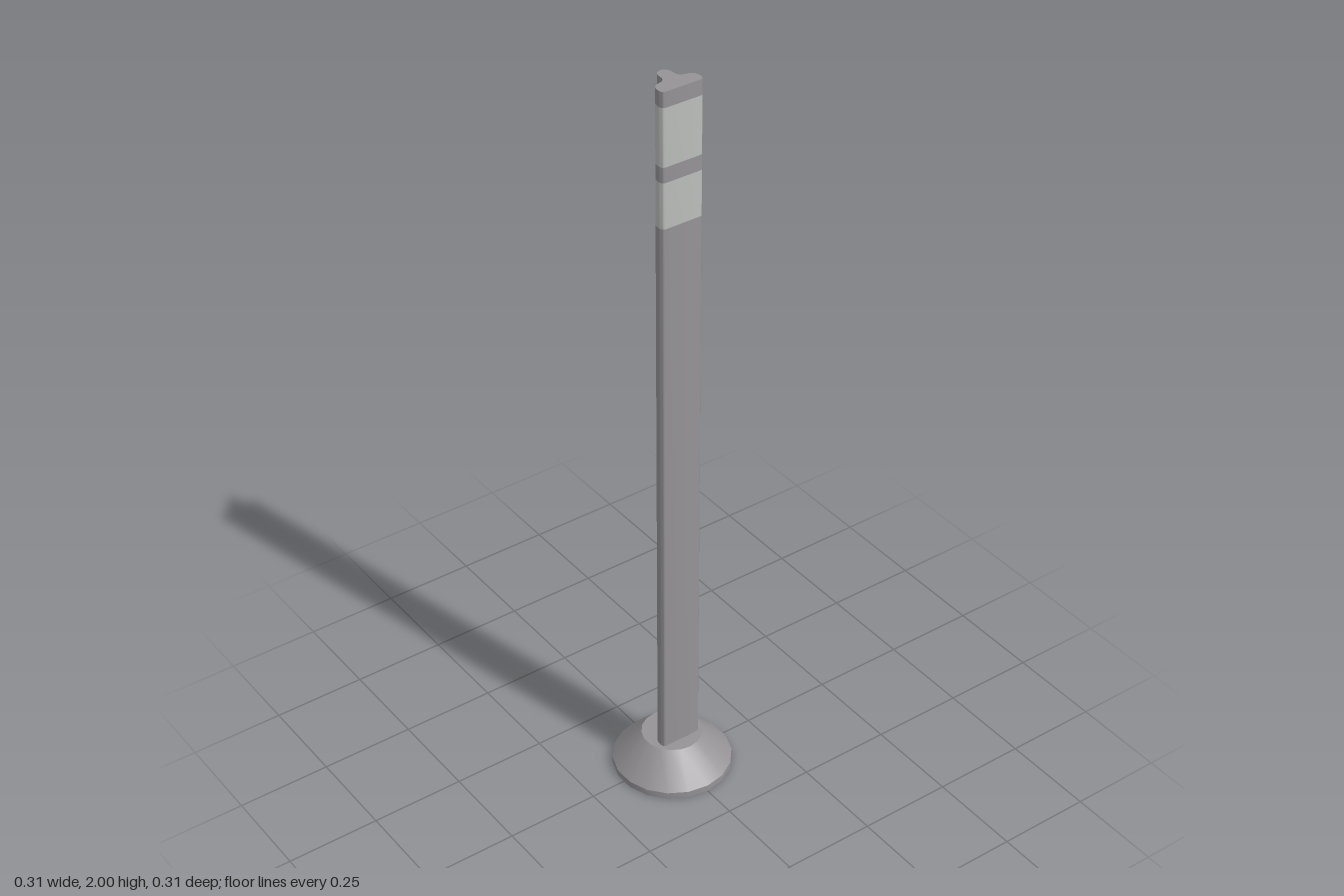
import * as THREE from 'three';
import { toCreasedNormals } from 'three/addons/utils/BufferGeometryUtils.js';

// Rounded three-lobed cross-section, flat at the front (shape y = -z)
function postShape() {
  const s = new THREE.Shape();
  s.moveTo(-0.046, -0.042);
  s.lineTo(0.046, -0.042);
  s.quadraticCurveTo(0.058, -0.042, 0.058, -0.028);
  s.bezierCurveTo(0.058, -0.012, 0.052, -0.004, 0.038, -0.002);
  s.bezierCurveTo(0.024, 0, 0.018, 0.006, 0.018, 0.02);
  s.bezierCurveTo(0.018, 0.036, 0.012, 0.045, 0, 0.045);
  s.bezierCurveTo(-0.012, 0.045, -0.018, 0.036, -0.018, 0.02);
  s.bezierCurveTo(-0.018, 0.006, -0.024, 0, -0.038, -0.002);
  s.bezierCurveTo(-0.052, -0.004, -0.058, -0.012, -0.058, -0.028);
  s.quadraticCurveTo(-0.058, -0.042, -0.046, -0.042);
  return s;
}

export function createModel() {
  const group = new THREE.Group();
  const grey = new THREE.MeshStandardMaterial({ name: 'grey', color: 0x959396 });
  const light = new THREE.MeshStandardMaterial({ name: 'lightBand', color: 0xbcbebc });
  const greyShell = new THREE.MeshStandardMaterial({ name: 'baseGrey', color: 0x959396, side: THREE.DoubleSide });

  // Post, stacked in flush plain and reflective sections
  const shape = postShape();
  const sections = [
    ['post', 0.095, 1.65, grey],
    ['lowerBand', 1.65, 1.77, light],
    ['bandGap', 1.77, 1.81, grey],
    ['upperBand', 1.81, 1.96, light],
    ['postTop', 1.96, 2, grey],
  ];
  for (const [name, y0, y1, material] of sections) {
    const geo = new THREE.ExtrudeGeometry(shape, { depth: y1 - y0, bevelEnabled: false, curveSegments: 6 });
    geo.rotateX(-Math.PI / 2).translate(0, y0, 0);
    const mesh = new THREE.Mesh(toCreasedNormals(geo, 0.7), material);
    mesh.name = name;
    group.add(mesh);
  }

  // Hollow conical foot with a short vertical rim, open underneath
  const profile = [[0.156, 0], [0.156, 0.018], [0.08, 0.098], [0, 0.098]]
    .map(([r, y]) => new THREE.Vector2(r, y));
  const base = new THREE.Mesh(toCreasedNormals(new THREE.LatheGeometry(profile, 18), 0.5), greyShell);
  base.name = 'base';
  group.add(base);

  return group;
}
